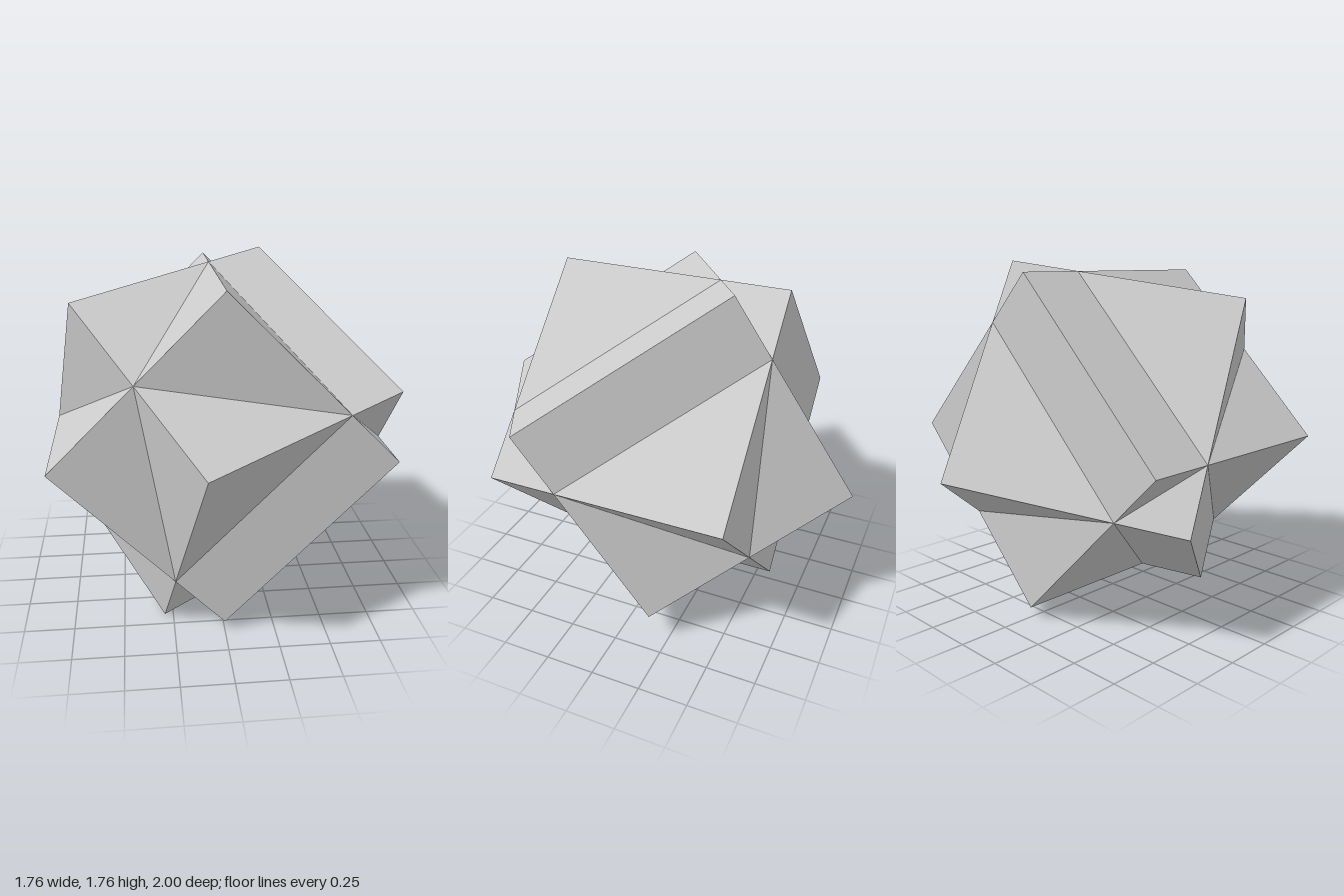
import * as THREE from 'three';

// Two interlocking cubes of equal size sharing one centre.
export function createModel() {
  const group = new THREE.Group();
  group.name = 'interlockingCubes';

  const side = 2 * (2 - Math.SQRT2);
  const centreY = 0.75 * side;
  const geometry = new THREE.BoxGeometry(side, side, side);
  const material = new THREE.MeshStandardMaterial({ color: 0xcccccc, flatShading: true });

  // Each cube is turned an eighth of a turn about its own axis
  const addCube = (name, axis) => {
    const cube = new THREE.Mesh(geometry, material);
    cube.name = name;
    cube.position.y = centreY;
    cube.quaternion.setFromAxisAngle(axis.normalize(), Math.PI / 4);
    group.add(cube);
  };

  // Cube standing on its lower edge
  addCube('edgeStandingCube', new THREE.Vector3(0, 0, 1));
  // Cube tilted about a diagonal, reaching the ground at one corner
  addCube('tiltedCube', new THREE.Vector3(1, 1, 0));

  return group;
}
